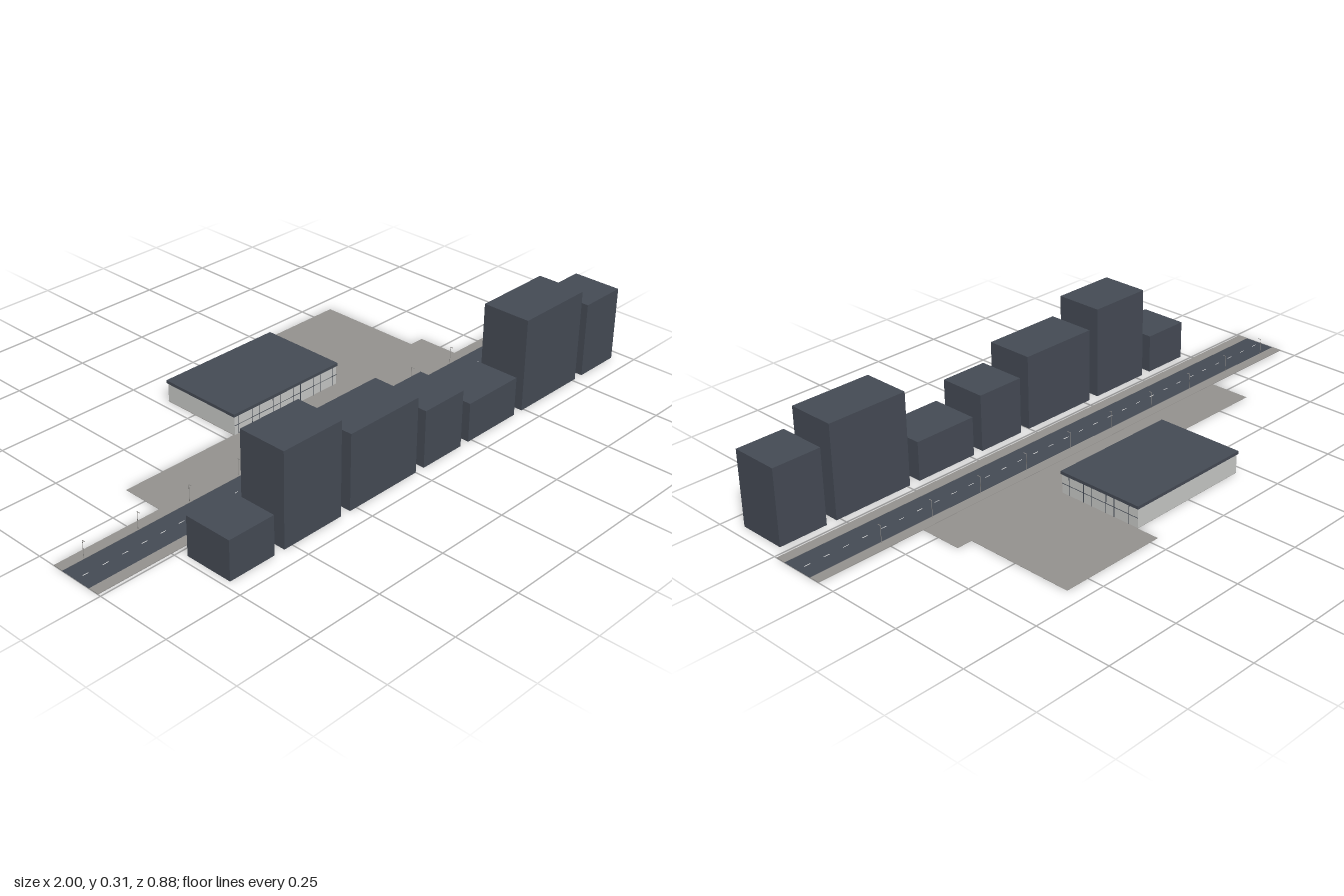
import * as THREE from 'three';

const mat = (name, color) => {
  const m = new THREE.MeshStandardMaterial({ color });
  m.name = name;
  return m;
};

export function createModel() {
  const root = new THREE.Group();
  root.name = 'streetBlock';
  const slate = mat('slate', 0x454b55);
  const paving = mat('paving', 0x94928f);
  const wall = mat('paleWall', 0xc8c9c7);
  const white = mat('whitePaint', 0xe8e8e6);

  // Box given by its limits on each axis
  const box = (name, m, x0, x1, y0, y1, z0, z1, parent = root) => {
    const mesh = new THREE.Mesh(new THREE.BoxGeometry(x1 - x0, y1 - y0, z1 - z0), m);
    mesh.position.set((x0 + x1) / 2, (y0 + y1) / 2, (z0 + z1) / 2);
    mesh.name = name;
    parent.add(mesh);
    return mesh;
  };

  // Road, sidewalks and dashed centre line
  box('road', slate, -1, 1, 0, 0.001, 0.095, 0.205);
  box('frontSidewalk', paving, -1, 1, 0, 0.002, 0.205, 0.24);
  box('backSidewalk', paving, -1, 1, 0, 0.002, 0.06, 0.095);
  const dashes = new THREE.Group();
  dashes.name = 'centreLine';
  root.add(dashes);
  for (let i = 0; i < 30; i++) {
    const x = -0.967 + i * 0.0667;
    box('laneDash', white, x - 0.01, x + 0.01, 0.001, 0.0014, 0.149, 0.151, dashes);
  }

  // Forecourt, side car park and ground below the shop
  box('forecourt', paving, -0.635, 0.632, 0, 0.001, -0.08, 0.06);
  box('carPark', paving, 0.22, 0.58, 0, 0.001, -0.445, -0.08);
  box('shopFloor', paving, -0.22, 0.22, 0, 0.001, -0.37, -0.08);

  // Row of plain blocks across the road: left, right, height
  [
    [-0.728, -0.567, 0.128], [-0.53, -0.312, 0.305], [-0.275, 0, 0.246],
    [0.035, 0.2, 0.187], [0.235, 0.453, 0.128], [0.49, 0.763, 0.305],
    [0.798, 0.96, 0.246],
  ].forEach(([a, b, h]) => box('cityBlock', slate, a, b, 0, h, 0.278, 0.44));

  // Low shop with a flat roof
  const shop = new THREE.Group();
  shop.name = 'shop';
  root.add(shop);
  box('shopWalls', wall, -0.218, 0.218, 0.001, 0.064, -0.37, -0.077, shop);
  box('shopRoof', slate, -0.222, 0.222, 0.063, 0.073, -0.373, -0.075, shop);

  // Slim window frames on the left side
  for (const z of [-0.105, -0.162, -0.192, -0.249, -0.28, -0.336]) {
    box('sideMullion', slate, 0.218, 0.219, 0.001, 0.063, z - 0.0008, z + 0.0008, shop);
  }
  box('sideTransom', slate, 0.218, 0.219, 0.032, 0.0335, -0.37, -0.077, shop);

  // Slim window frames on the front
  for (let i = 0; i < 5; i++) {
    const x = (i - 2) * 0.087;
    for (const d of [-0.028, 0.028]) {
      box('frontMullion', slate, x + d - 0.0008, x + d + 0.0008, 0.001, 0.063, -0.077, -0.076, shop);
    }
  }
  box('frontTransom', slate, -0.218, 0.218, 0.032, 0.0335, -0.077, -0.076, shop);

  // Street lamps along the back kerb
  for (let i = 0; i < 10; i++) {
    const x = -0.925 + i * 0.187;
    const lamp = new THREE.Group();
    lamp.name = 'streetLamp';
    root.add(lamp);
    const pole = new THREE.Mesh(new THREE.CylinderGeometry(0.0008, 0.0008, 0.056, 6), paving);
    pole.name = 'lampPole';
    pole.position.set(x, 0.03, 0.0905);
    lamp.add(pole);
    box('lampArm', paving, x - 0.0008, x + 0.0008, 0.0568, 0.058, 0.09, 0.101, lamp);
  }
  return root;
}
